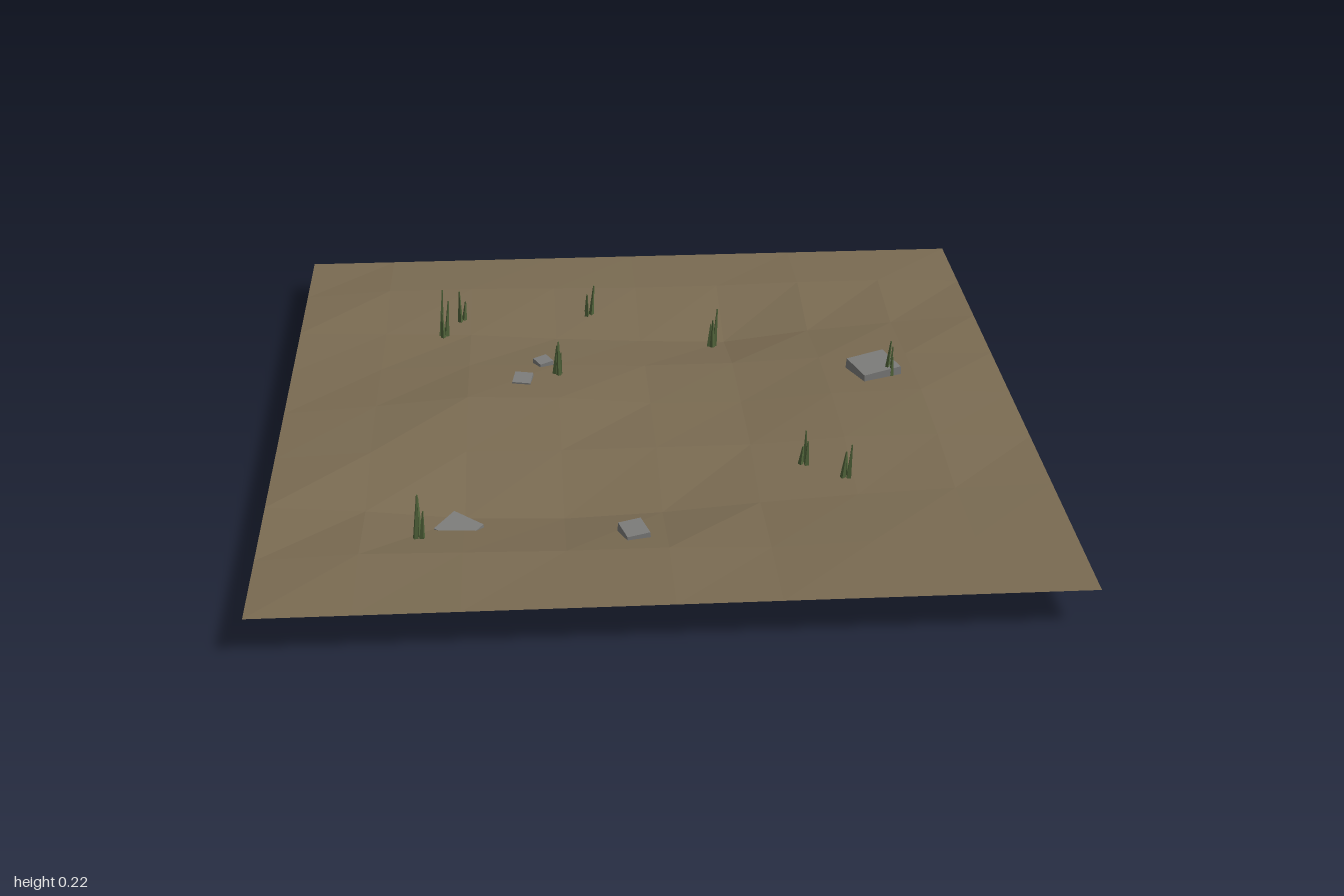
import * as THREE from 'three';

// Ground heights at the interior grid corners, rows from back to front
const HEIGHTS = [
  [0.115, 0.115, 0.11, 0.105, 0.105, 0.11, 0.11],
  [0.09, 0.08, 0.06, 0.045, 0.035, 0.065, 0.085],
  [0.1, 0.105, 0.1, 0.09, 0.09, 0.1, 0.105],
  [0.115, 0.135, 0.125, 0.1, 0.095, 0.115, 0.12],
  [0.11, 0.105, 0.1, 0.1, 0.1, 0.115, 0.115],
  [0.08, 0.05, 0.04, 0.05, 0.07, 0.085, 0.095],
  [0.11, 0.105, 0.1, 0.1, 0.09, 0.1, 0.1],
];
const RIM = 0.1;
const CELLS = 8;

const corner = (i, j) => HEIGHTS[j - 1]?.[i - 1] ?? RIM;

// Bilinear ground height at any point
function groundY(x, z) {
  const u = (x + 1) * CELLS / 2, v = (z + 1) * CELLS / 2;
  const i = Math.min(Math.floor(u), CELLS - 1), j = Math.min(Math.floor(v), CELLS - 1);
  const { lerp } = THREE.MathUtils;
  return lerp(
    lerp(corner(i, j), corner(i + 1, j), u - i),
    lerp(corner(i, j + 1), corner(i + 1, j + 1), u - i), v - j);
}

function makeGround(material) {
  const geo = new THREE.PlaneGeometry(2, 2, CELLS, CELLS).rotateX(-Math.PI / 2);
  const p = geo.attributes.position;
  for (let k = 0; k < p.count; k++) {
    p.setY(k, corner(k % (CELLS + 1), Math.floor(k / (CELLS + 1))));
  }
  geo.computeVertexNormals();
  const ground = new THREE.Mesh(geo, material);
  ground.name = 'ground';
  return ground;
}

// Half-buried block, slightly narrower at the top
function makeRock([x, z, width, depth, bottom, top, turn, tiltX, tiltZ], material) {
  const geo = new THREE.BoxGeometry(width, top - bottom, depth);
  const p = geo.attributes.position;
  for (let k = 0; k < p.count; k++) {
    if (p.getY(k) > 0) p.setXYZ(k, p.getX(k) * 0.92, p.getY(k), p.getZ(k) * 0.92);
  }
  geo.computeVertexNormals();
  const rock = new THREE.Mesh(geo, material);
  rock.position.set(x, (bottom + top) / 2, z);
  rock.rotation.set(tiltX, turn, tiltZ, 'YXZ');
  rock.name = 'rock';
  return rock;
}

// Tuft of thin pointed blades leaning apart
function makeTuft([x, z, tip], index, material) {
  const tuft = new THREE.Group();
  tuft.name = 'grassTuft';
  const base = groundY(x, z) - 0.005;
  tuft.position.set(x, base, z);
  for (let b = 0; b < 3; b++) {
    const h = (tip - base) * [1, 0.8, 0.6][b];
    const geo = new THREE.CylinderGeometry(0.002, 0.008, h, 4).translate(0, h / 2, 0);
    const blade = new THREE.Mesh(geo, material);
    const angle = index * 1.9 + b * 2.1;
    blade.position.set(Math.cos(angle) * 0.009, 0, Math.sin(angle) * 0.009);
    blade.rotation.set(Math.sin(angle) * 0.09, angle, -Math.cos(angle) * 0.09);
    blade.name = 'grassBlade';
    tuft.add(blade);
  }
  return tuft;
}

export function createModel() {
  const model = new THREE.Group();
  model.name = 'groundPatch';
  const soil = new THREE.MeshStandardMaterial({ color: 0x7a6b52, flatShading: true, side: THREE.DoubleSide });
  const stone = new THREE.MeshStandardMaterial({ color: 0x7c7c7a, flatShading: true });
  const leaf = new THREE.MeshStandardMaterial({ color: 0x53663c, flatShading: true });

  model.add(makeGround(soil));

  // x, z, width, depth, bottom, top, turn, tilts
  const rocks = [
    [0.64, -0.14, 0.125, 0.115, 0.047, 0.137, 0.35, 0.05, 0.05],
    [-0.515, 0.57, 0.1, 0.09, 0.012, 0.073, -0.65, 0.12, -0.1],
    [-0.08, 0.65, 0.065, 0.075, 0.052, 0.1, 0.3, 0.05, 0.03],
    [-0.35, -0.13, 0.055, 0.065, 0.07, 0.125, -0.15, 0.05, -0.04],
    [-0.29, -0.26, 0.046, 0.046, 0.066, 0.114, 0.5, 0.06, 0.05],
  ];
  for (const r of rocks) model.add(makeRock(r, stone));

  // x, z, tip height
  const tufts = [
    [-0.15, -0.62, 0.175], [-0.53, -0.58, 0.195], [-0.58, -0.49, 0.225],
    [0.21, -0.45, 0.165], [-0.25, -0.18, 0.215], [0.68, -0.11, 0.215],
    [0.38, 0.35, 0.185], [0.48, 0.42, 0.19], [-0.61, 0.64, 0.215],
  ];
  tufts.forEach((t, i) => model.add(makeTuft(t, i, leaf)));
  return model;
}
